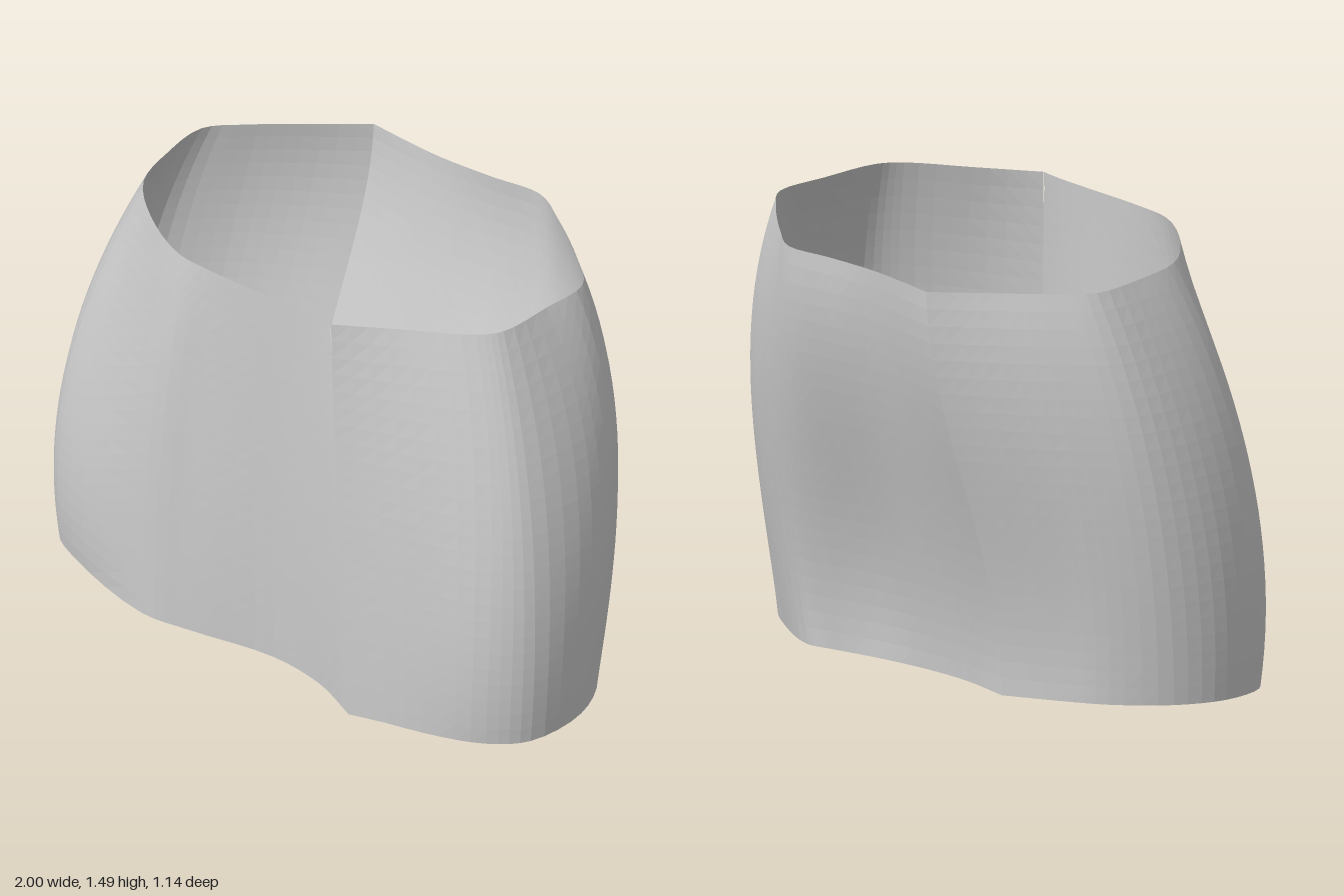
import * as THREE from 'three';

// Outlines [x, z] at four even levels from hem to waist, running from the
// front seam over the left (+x) side to the back seam.
const leftOutlines = [
  [[.36, .57], [.62, .525], [.82, .455], [.93, .36], [.98, .15], [.92, -.03], [.74, -.175],
    [.5, -.3], [.4, -.29], [.2, -.265], [0, -.257], [-.22, -.275], [-.44, -.33]],
  [[.33, .56], [.61, .51], [.83, .445], [.94, .35], [.997, .12], [.955, -.07], [.78, -.24],
    [.54, -.36], [.42, -.375], [.2, -.335], [0, -.335], [-.2, -.35], [-.42, -.39]],
  [[.285, .535], [.56, .46], [.78, .37], [.87, .29], [.935, .05], [.905, -.15], [.76, -.3],
    [.51, -.45], [.37, -.495], [.18, -.475], [-.03, -.46], [-.2, -.475], [-.375, -.51]],
  [[.24, .497], [.45, .38], [.65, .27], [.71, .2], [.74, 0], [.755, -.18], [.65, -.3],
    [.46, -.46], [.33, -.545], [.15, -.537], [-.05, -.535], [-.2, -.55], [-.34, -.57]],
];
// From the back seam over the right (-x) side to the front seam
const rightOutlines = [
  [[-.44, -.33], [-.62, -.25], [-.77, -.17], [-.92, -.02], [-.982, .15], [-.94, .34],
    [-.82, .42], [-.48, .53], [-.3, .515], [0, .475], [.2, .505], [.36, .57]],
  [[-.42, -.39], [-.62, -.3], [-.79, -.21], [-.94, -.07], [-.997, .12], [-.95, .34],
    [-.83, .42], [-.47, .525], [-.29, .51], [0, .485], [.185, .515], [.33, .56]],
  [[-.375, -.51], [-.58, -.4], [-.76, -.28], [-.9, -.14], [-.935, .05], [-.88, .28],
    [-.75, .36], [-.44, .5], [-.27, .49], [-.01, .485], [.16, .505], [.285, .535]],
  [[-.34, -.57], [-.52, -.435], [-.67, -.32], [-.77, -.22], [-.775, -.03], [-.74, .15],
    [-.6, .31], [-.4, .44], [-.25, .465], [0, .478], [.14, .485], [.24, .497]],
];

// The waist edge slopes down towards the back and the right side
const waistHeight = (x, z) => 1.436 + 0.042 * x + 0.09 * z;

// Weights of a smooth cubic through the four levels
const levelWeights = (t) => {
  const s = 3 * t;
  return [
    -(s - 1) * (s - 2) * (s - 3) / 6,
    s * (s - 2) * (s - 3) / 2,
    -s * (s - 1) * (s - 3) / 2,
    s * (s - 1) * (s - 2) / 6,
  ];
};

function makePanel(name, outlines, material, hasSlit) {
  const curves = outlines.map((points) =>
    new THREE.CatmullRomCurve3(points.map(([x, z]) => new THREE.Vector3(x, 0, z))));
  const geometry = new THREE.PlaneGeometry(1, 1, (outlines[0].length - 1) * 4, 24);
  const { position, uv } = geometry.attributes;

  for (let i = 0; i < position.count; i++) {
    const u = uv.getX(i);
    const t = uv.getY(i);
    const rings = curves.map((curve) => curve.getPoint(u));
    const p = new THREE.Vector3();
    levelWeights(t).forEach((weight, k) => p.addScaledVector(rings[k], weight));

    const [hem, , , waist] = rings;
    const top = waistHeight(waist.x, waist.z);
    // the hem dips slightly at the front seam
    const bottom = 0.012 * Math.min(1, Math.hypot(hem.x - 0.36, hem.z - 0.57) / 0.15);
    // short slit at the top of the front seam
    const slit = hasSlit && u === 1 && t > 0.95 ? 0.004 : 0;
    position.setXYZ(i, p.x - slit, bottom + t * (top - bottom), p.z);
  }
  geometry.computeVertexNormals();
  const mesh = new THREE.Mesh(geometry, material);
  mesh.name = name;
  return mesh;
}

export function createModel() {
  const group = new THREE.Group();
  group.name = 'skirt';
  const material = new THREE.MeshStandardMaterial({
    color: 0xcccccc, flatShading: true, side: THREE.DoubleSide,
  });
  group.add(
    makePanel('leftSkirtPanel', leftOutlines, material, false),
    makePanel('rightSkirtPanel', rightOutlines, material, true),
  );
  return group;
}
